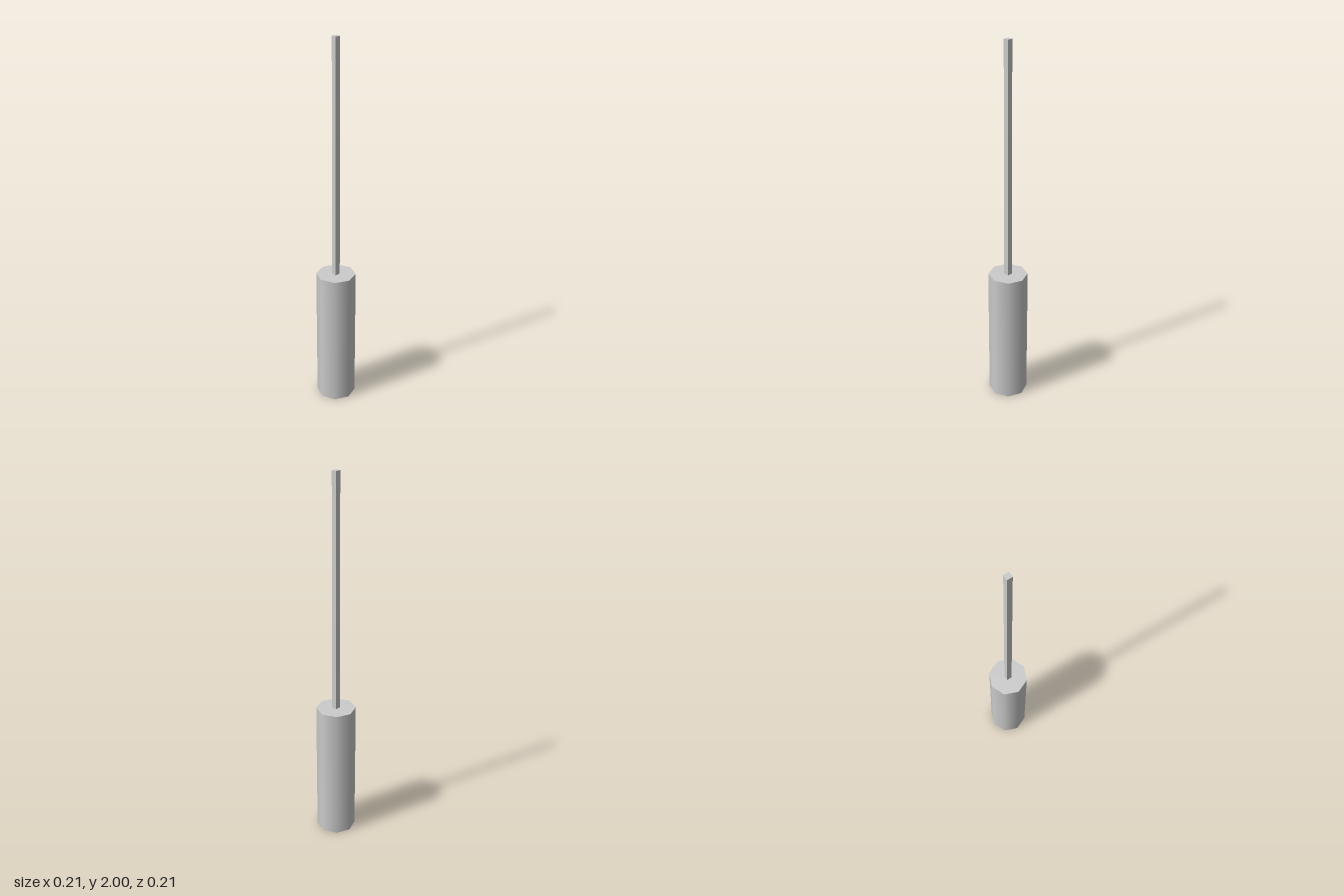
import * as THREE from 'three';

export function createModel() {
  const group = new THREE.Group();
  const smooth = new THREE.MeshStandardMaterial({ color: 0xcccccc, side: THREE.DoubleSide });
  const flat = new THREE.MeshStandardMaterial({ color: 0xcccccc, flatShading: true, side: THREE.DoubleSide });

  const add = (name, geometry, material, y) => {
    const mesh = new THREE.Mesh(geometry, material);
    mesh.name = name;
    mesh.position.y = y;
    group.add(mesh);
  };

  const handleRadius = 0.105, handleHeight = 0.74, rodRadius = 0.02, top = 2;

  // Eight-sided handle, hollow and open at the bottom
  add('handle', new THREE.CylinderGeometry(handleRadius, handleRadius, handleHeight, 8, 1, true), smooth, handleHeight / 2);

  // Flat lid closing the handle's upper end
  add('handleTop', new THREE.CircleGeometry(handleRadius, 8).rotateX(-Math.PI / 2), flat, handleHeight);

  // Slim four-sided rod standing on the lid
  const rodLength = top - handleHeight;
  add('rod', new THREE.CylinderGeometry(rodRadius, rodRadius, rodLength, 4), flat, handleHeight + rodLength / 2);

  return group;
}
